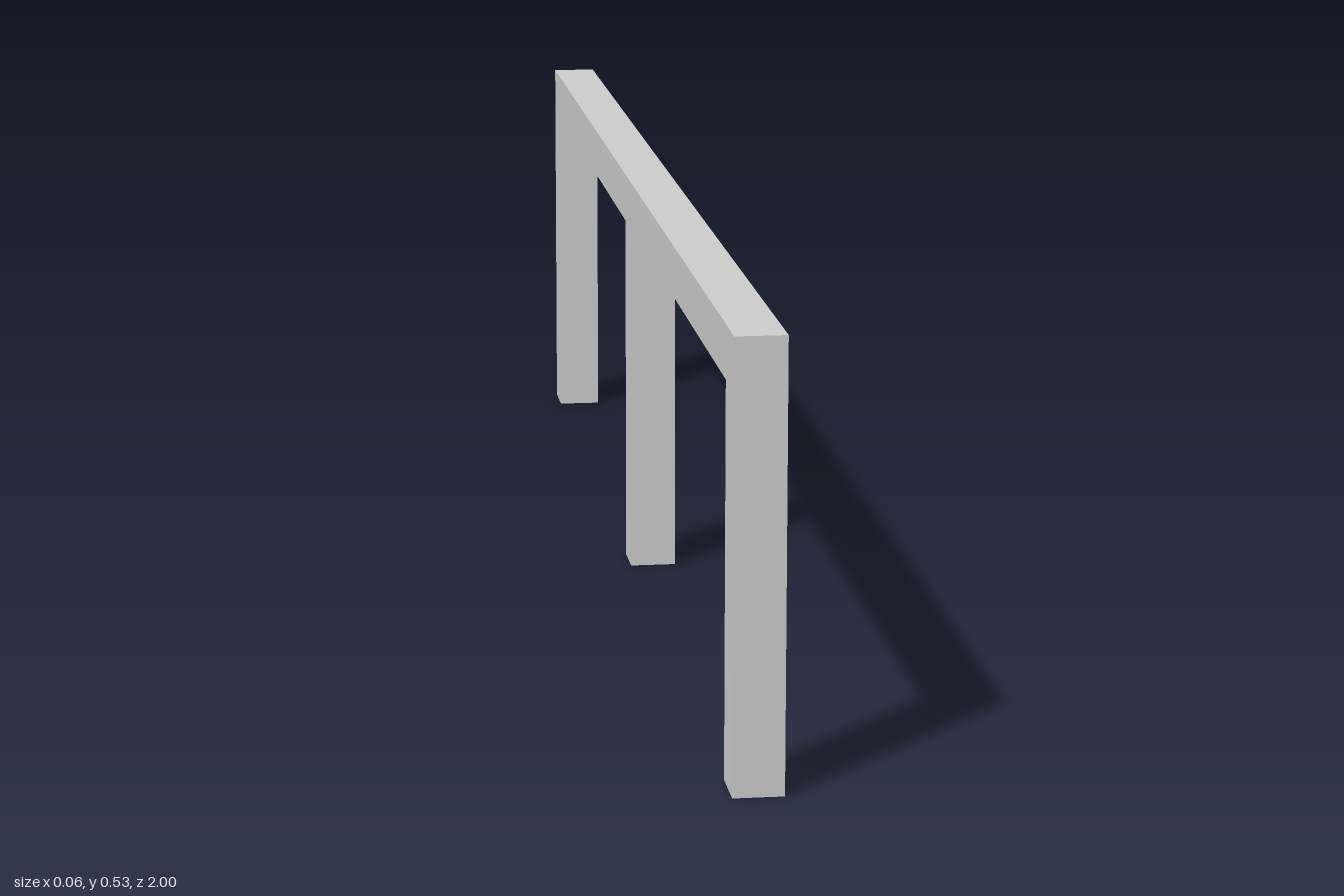
import * as THREE from 'three';

const HALF_LENGTH = 1, HEIGHT = 0.53, WIDTH = 0.06;
const BEAM_UNDERSIDE = 0.467, END_LEG = 0.065, MID_LEG = 0.06;

export function createModel() {
  const group = new THREE.Group();
  const material = new THREE.MeshStandardMaterial({ color: 0xcccccc, flatShading: true });

  // Half of the side outline, from the centre leg to the end leg, then mirrored
  const inner = HALF_LENGTH - END_LEG;
  const half = [
    [MID_LEG / 2, 0], [MID_LEG / 2, BEAM_UNDERSIDE], [inner, BEAM_UNDERSIDE],
    [inner, 0], [HALF_LENGTH, 0], [HALF_LENGTH, HEIGHT],
  ].map(([x, y]) => new THREE.Vector2(x, y));
  const mirrored = half.map((p) => new THREE.Vector2(-p.x, p.y)).reverse();

  // Top beam and three legs as one continuous frame, running along z
  const geometry = new THREE.ExtrudeGeometry(new THREE.Shape([...half, ...mirrored]), {
    depth: WIDTH, bevelEnabled: false,
  });
  geometry.translate(0, 0, -WIDTH / 2);
  geometry.rotateY(Math.PI / 2);

  const frame = new THREE.Mesh(geometry, material);
  frame.name = 'railFrame';
  group.add(frame);
  return group;
}
